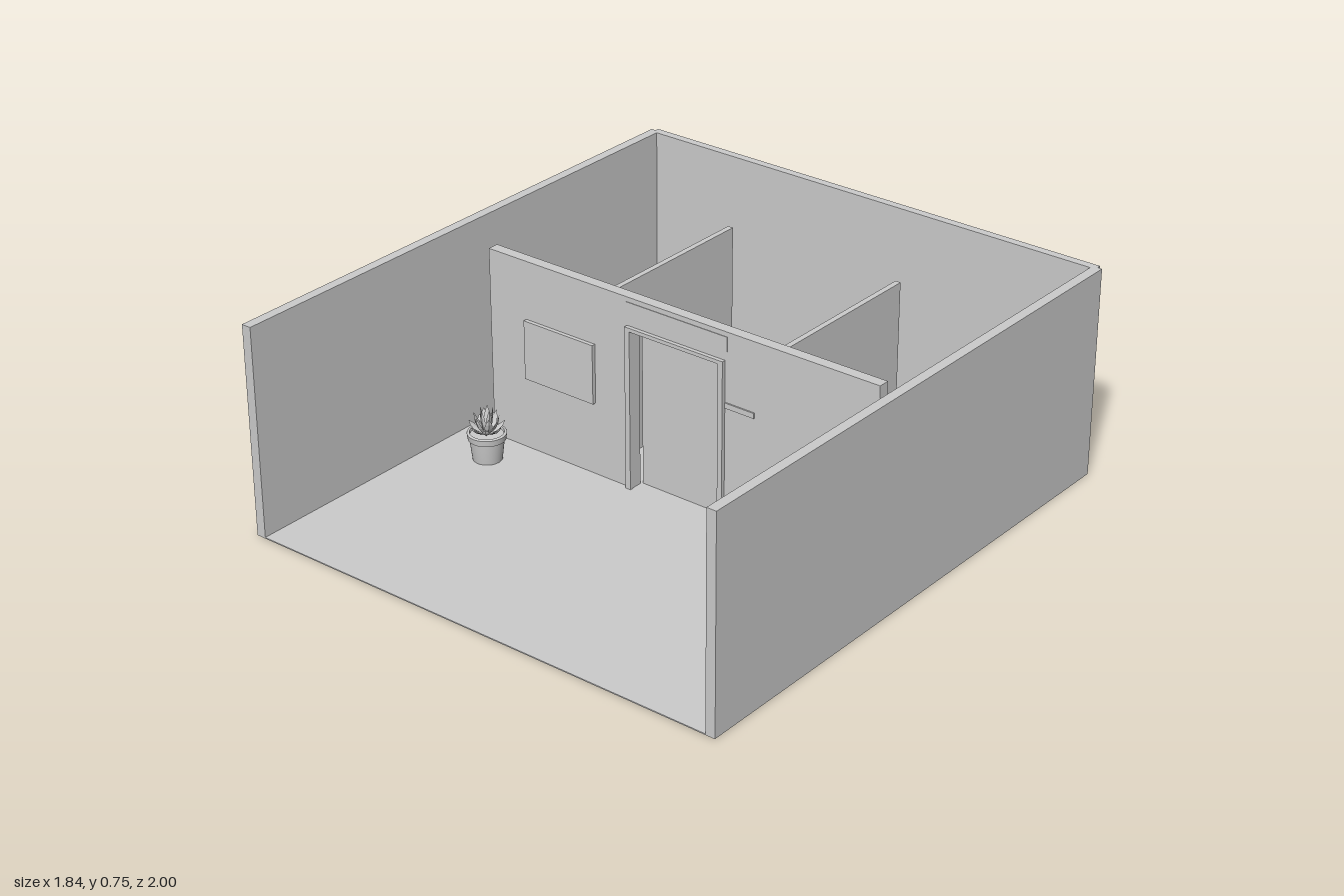
import * as THREE from 'three';

export function createModel() {
  const root = new THREE.Group();
  root.name = 'roomModel';
  const grey = new THREE.MeshStandardMaterial({ color: 0xcccccc });
  grey.name = 'plainGrey';
  const greyLeaf = grey;

  function add(name, geometry, parent = root) {
    const mesh = new THREE.Mesh(geometry, grey);
    mesh.name = name;
    parent.add(mesh);
    return mesh;
  }

  // Box from its minimum and maximum on each axis
  function block(name, x0, x1, y0, y1, z0, z1) {
    const mesh = add(name, new THREE.BoxGeometry(x1 - x0, y1 - y0, z1 - z0));
    mesh.position.set((x0 + x1) / 2, (y0 + y1) / 2, (z0 + z1) / 2);
    return mesh;
  }

  // Upright slab with a doorway cut up from its base
  function archSlab(name, x0, x1, top, hx0, hx1, hTop, z0, z1) {
    const shape = new THREE.Shape([
      [x0, 0.002], [hx0, 0.002], [hx0, hTop], [hx1, hTop],
      [hx1, 0.002], [x1, 0.002], [x1, top], [x0, top],
    ].map(([x, y]) => new THREE.Vector2(x, y)));
    const geometry = new THREE.ExtrudeGeometry(shape, { depth: z1 - z0, bevelEnabled: false });
    add(name, geometry).position.z = z0;
  }

  // Floor and outer walls
  block('floor', -0.92, 0.92, 0, 0.004, -0.985, 1);
  block('rightWall', -0.922, -0.887, 0.001, 0.745, -0.985, 1);
  block('leftWall', 0.887, 0.922, 0.001, 0.745, -0.985, 1);
  block('backWall', -0.905, 0.905, 0.001, 0.745, -1, -0.97);

  // Dividing wall with its doorway, and two partitions behind it
  archSlab('dividingWall', -0.783, 0.78, 0.69, -0.182, 0.178, 0.588, -0.013, 0.027);
  block('rightPartition', -0.355, -0.335, 0.002, 0.635, -0.695, -0.013);
  block('leftPartition', 0.33, 0.35, 0.002, 0.635, -0.695, -0.013);

  // Door, frame and wall fittings
  archSlab('doorFrame', -0.2, 0.195, 0.59, -0.18, 0.176, 0.577, 0.027, 0.041);
  block('doorPanel', -0.177, 0.172, 0.004, 0.572, -0.036, -0.02);
  block('wallBoard', -0.627, -0.335, 0.267, 0.48, 0.027, 0.041);
  block('signAboveDoor', -0.205, 0.203, 0.61, 0.673, 0.025, 0.029);
  block('wallRail', 0.197, 0.312, 0.425, 0.444, 0.02, 0.032);

  // Potted plant
  const plant = new THREE.Group();
  plant.name = 'pottedPlant';
  plant.position.set(-0.685, 0.003, 0.172);
  root.add(plant);
  const profile = [
    [0, 0], [0.046, 0], [0.046, 0], [0.05, 0.003], [0.059, 0.078], [0.059, 0.078], [0.064, 0.078],
    [0.064, 0.078], [0.067, 0.1], [0.067, 0.1], [0.065, 0.103], [0.058, 0.103],
    [0.058, 0.103], [0.056, 0.094], [0.056, 0.094], [0, 0.096],
  ].map(([r, y]) => new THREE.Vector2(r, y));
  add('pot', new THREE.LatheGeometry(profile, 32), plant);

  // Thick pointed leaf: diamond sections swept along an outward curve
  function leafGeometry(reach, rise, width) {
    const curve = new THREE.QuadraticBezierCurve(
      new THREE.Vector2(0.004, 0), new THREE.Vector2(reach * 0.75, rise * 0.35), new THREE.Vector2(reach, rise));
    const widths = [0.4, 0.85, 1, 0.75, 0.02];
    const points = [], index = [];
    widths.forEach((w, i) => {
      const p = curve.getPoint(i / 4), t = curve.getTangent(i / 4);
      const half = w * width, thick = half * 0.4;
      points.push(p.x, p.y, half, p.x - t.y * thick * 0.3, p.y + t.x * thick * 0.3, 0,
        p.x, p.y, -half, p.x + t.y * thick, p.y - t.x * thick, 0);
      for (let k = 0; i < 4 && k < 4; k++) {
        const a = i * 4 + k, b = i * 4 + (k + 1) % 4;
        index.push(a, a + 4, b, b, a + 4, b + 4);
      }
    });
    const geometry = new THREE.BufferGeometry();
    geometry.setAttribute('position', new THREE.Float32BufferAttribute(points, 3));
    geometry.setIndex(index);
    const flat = geometry.toNonIndexed();
    flat.computeVertexNormals();
    return flat;
  }

  // Three rings of leaves: count, reach, rise, half width, turn
  [
    [7, 0.062, 0.042, 0.016, 0],
    [6, 0.045, 0.072, 0.015, 0.4],
    [5, 0.022, 0.094, 0.012, 0.9],
  ].forEach(([count, reach, rise, width, turn], ring) => {
    const geometry = leafGeometry(reach, rise, width);
    for (let i = 0; i < count; i++) {
      const leaf = add(`leafRing${ring + 1}`, geometry, plant);
      leaf.position.y = 0.097;
      leaf.rotation.y = turn + (i / count) * Math.PI * 2;
    }
  });
  greyLeaf.side = THREE.DoubleSide;

  return root;
}
